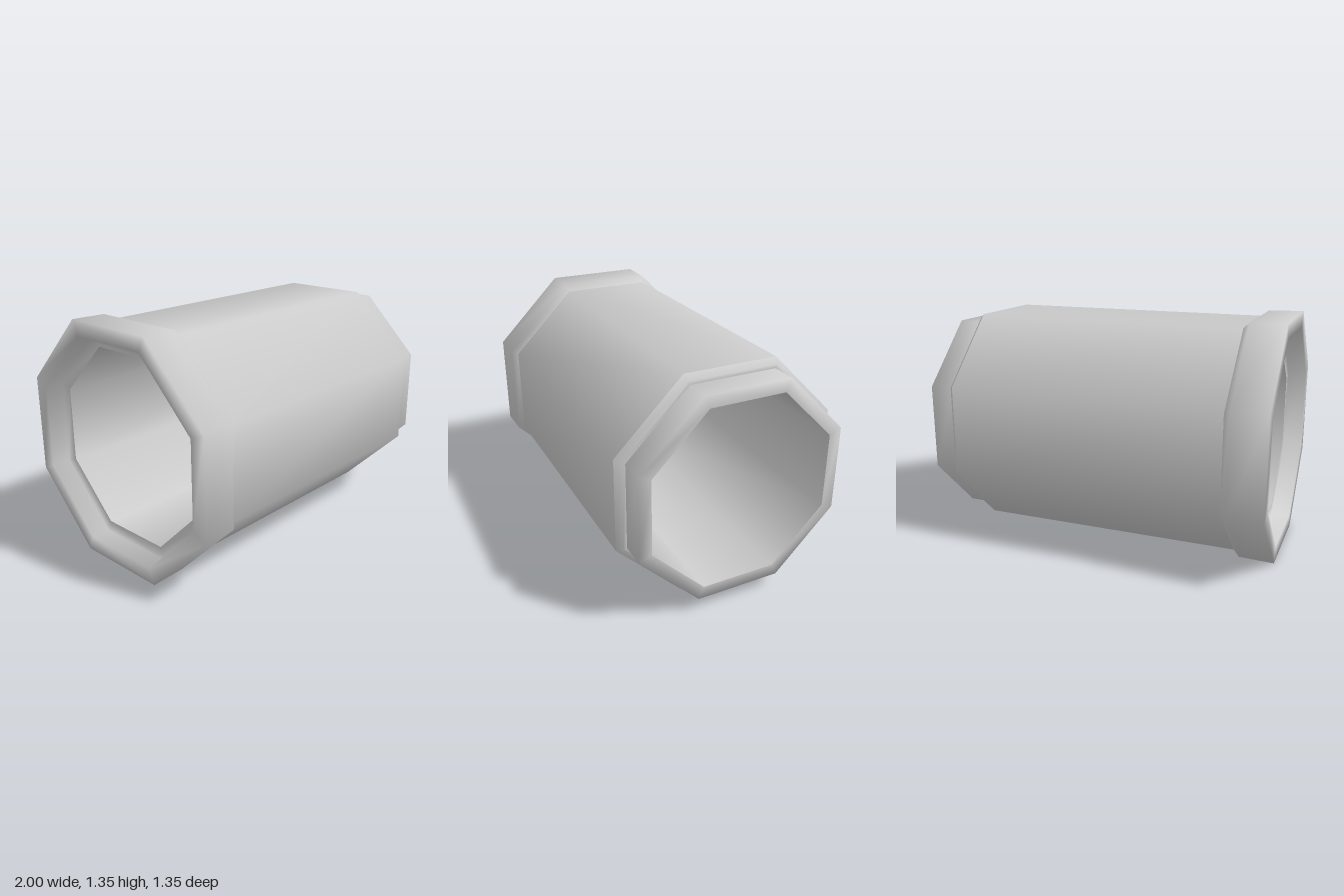
import * as THREE from 'three';

const SIDES = 8;
const CENTER_Y = 0.677;

// Octagonal ring along x; profile points are [distance from axis to flat, x]
function ring(name, profile, material) {
  const toCorner = 1 / Math.cos(Math.PI / SIDES);
  const points = profile.map(([r, x]) => new THREE.Vector2(r * toCorner, x));
  const geometry = new THREE.LatheGeometry(points, SIDES, Math.PI / SIDES);
  geometry.rotateZ(-Math.PI / 2);
  const mesh = new THREE.Mesh(geometry, material);
  mesh.name = name;
  return mesh;
}

export function createModel() {
  const group = new THREE.Group();
  group.name = 'pipeSection';
  const material = new THREE.MeshStandardMaterial({ color: 0xcccccc });

  const pipe = new THREE.Group();
  pipe.name = 'pipe';
  pipe.position.y = CENTER_Y;
  group.add(pipe);

  pipe.add(
    // wide collar with a recess for the next pipe's narrow end
    ring('socketCollar', [
      [0.52, -0.89], [0.59, -0.89], [0.59, -1], [0.677, -1],
      [0.673, -0.8], [0.64, -0.765],
    ], material),
    // main wall
    ring('barrel', [[0.64, -0.765], [0.64, 0.825]], material),
    // bevel down to the narrow end
    ring('shoulder', [[0.64, 0.825], [0.61, 0.855], [0.59, 0.855]], material),
    // narrow end and its rim
    ring('spigot', [[0.59, 0.855], [0.59, 1], [0.52, 1]], material),
    // inner wall
    ring('bore', [[0.52, 1], [0.52, -0.89]], material),
  );
  return group;
}
